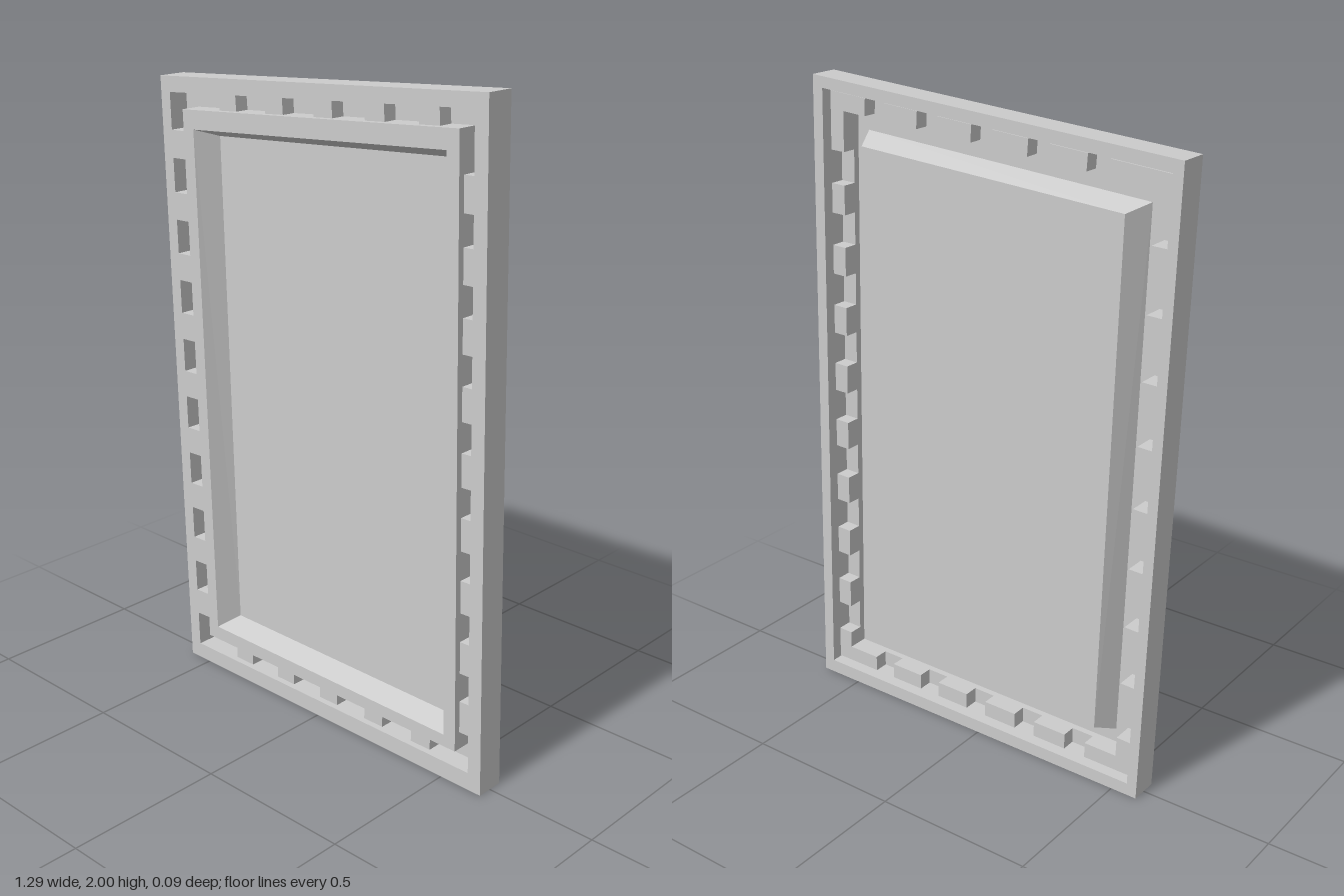
import * as THREE from 'three';

const V = (x, y) => new THREE.Vector2(x, y);
const quad = (...n) => [0, 2, 4, 6].map((i) => V(n[i], n[i + 1]));

// Skewed outlines, counter-clockwise from the lower corner at -x
const OUTER = quad(-0.585, 0, 0.645, 0, 0.59, 2, -0.645, 1.92);
const GROOVE_OUT = quad(-0.545, 0.05, 0.598, 0.055, 0.547, 1.955, -0.605, 1.875);
const GROOVE_IN = quad(-0.495, 0.1, 0.548, 0.105, 0.5, 1.9, -0.55, 1.83);
const TRAY_TOP = quad(-0.455, 0.145, 0.505, 0.143, 0.46, 1.84, -0.505, 1.775);
const TRAY_FLOOR = quad(-0.42, 0.173, 0.467, 0.17, 0.43, 1.808, -0.465, 1.752);
const RIM_IN = OUTER.map((p, i) => p.clone().lerp(GROOVE_OUT[i], 0.8));
const FRONT = 0.045, BACK = -0.045, POCKET = -0.02, TRAY = -0.025;

// Groove sides: corner arms at start and end, pocket count and length, height of the bars between
const SIDES = [
  { name: 'bottomGroove', start: 0.11, end: 0.11, count: 4, size: 0.114, bar: 0.025 },
  { name: 'leftGroove', start: 0.055, end: 0.12, count: 8, size: 0.09, bar: 0.025 },
  { name: 'topGroove', start: 0.08, end: 0.14, count: 4, size: 0.12, bar: 0.025 },
  { name: 'rightGroove', start: 0.065, end: 0.065, count: 8, size: 0.105, bar: FRONT },
];

// Flat-shaded geometry from four-cornered faces
function faces(list) {
  const pos = [];
  for (const [a, b, c, d] of list) for (const p of [a, b, c, a, c, d]) pos.push(p.x, p.y, p.z);
  const g = new THREE.BufferGeometry();
  g.setAttribute('position', new THREE.Float32BufferAttribute(pos, 3));
  g.computeVertexNormals();
  return g;
}

const at = (p, z) => new THREE.Vector3(p.x, p.y, z);

// Band of four faces joining two outlines
function band(a, za, b, zb) {
  return a.map((p, i) => {
    const j = (i + 1) % 4;
    return [at(p, za), at(a[j], za), at(b[j], zb), at(b[i], zb)];
  });
}

// One side of the groove: a row of cells, alternately deep pockets and higher bars
function groove(side, { start, end, count, size, bar }) {
  const next = (side + 1) % 4;
  const a = GROOVE_IN[side], b = GROOVE_IN[next];
  const oa = GROOVE_OUT[side], ob = GROOVE_OUT[next];
  const length = a.distanceTo(b);
  const gap = (length - start - end - count * size) / (count + 1);
  const outDir = ob.clone().sub(oa).normalize();

  // Cross-sections along the side; the first and last are the corner mitres
  const cuts = [[oa, a]];
  const cut = (d) => {
    const inner = a.clone().lerp(b, d / length);
    const along = inner.clone().sub(oa).dot(outDir);
    cuts.push([oa.clone().addScaledVector(outDir, along), inner]);
  };
  for (let k = 0; k <= count; k++) {
    const d = start + k * (size + gap);
    cut(d);
    cut(d + gap);
  }
  cuts.push([ob, b]);

  const list = [];
  for (let i = 0; i < cuts.length - 1; i++) {
    const [o0, i0] = cuts[i], [o1, i1] = cuts[i + 1];
    const z = i % 2 ? bar : POCKET;
    list.push([at(o0, z), at(o1, z), at(i1, z), at(i0, z)]);
    if (z < FRONT) {
      list.push([at(o0, FRONT), at(o1, FRONT), at(o1, z), at(o0, z)]);
      list.push([at(i0, z), at(i1, z), at(i1, FRONT), at(i0, FRONT)]);
    }
    // Step between a pocket and a bar
    if (i > 0) list.push([at(o0, bar), at(i0, bar), at(i0, POCKET), at(o0, POCKET)]);
  }
  return list;
}

export function createModel() {
  const group = new THREE.Group();
  const grey = new THREE.MeshStandardMaterial({ color: 0xcccccc, side: THREE.DoubleSide });
  grey.name = 'light grey';
  const add = (name, list) => {
    const mesh = new THREE.Mesh(faces(list), grey);
    mesh.name = name;
    group.add(mesh);
  };

  // Thick outer rim
  add('outerRim', [
    ...band(OUTER, BACK, OUTER, FRONT),
    ...band(OUTER, FRONT, GROOVE_OUT, FRONT),
    ...band(RIM_IN, BACK, OUTER, BACK),
    ...band(RIM_IN, FRONT, RIM_IN, BACK),
  ]);

  // Groove with pockets, standing out as blocks on the hollow back
  SIDES.forEach((side, i) => add(side.name, groove(i, side)));

  // Flat border between groove and tray
  add('innerBorder', band(GROOVE_IN, FRONT, TRAY_TOP, FRONT));

  // Sunken centre panel with sloping walls
  add('centreTray', [
    ...band(TRAY_TOP, FRONT, TRAY_FLOOR, TRAY),
    TRAY_FLOOR.map((p) => at(p, TRAY)),
  ]);

  return group;
}
